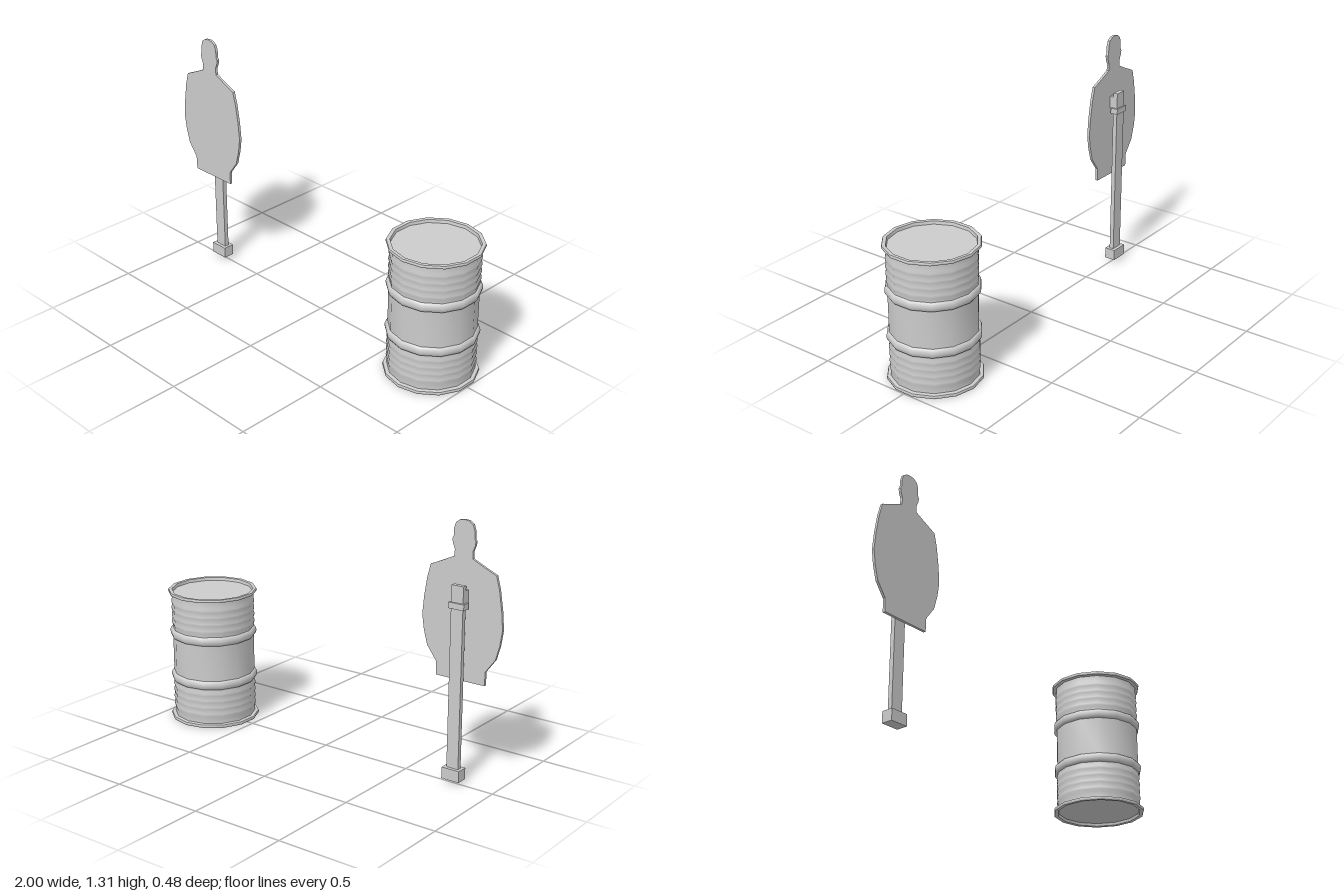
import * as THREE from 'three';
import { toCreasedNormals } from 'three/addons/utils/BufferGeometryUtils.js';

const material = new THREE.MeshStandardMaterial({ color: 0xcccccc });

function add(group, name, geometry, x = 0, y = 0, z = 0) {
  const mesh = new THREE.Mesh(geometry, material);
  mesh.name = name;
  mesh.position.set(x, y, z);
  group.add(mesh);
}

// Box given by its width, bottom and top, back and front
function addBox(group, name, width, y0, y1, z0, z1) {
  add(group, name, new THREE.BoxGeometry(width, y1 - y0, z1 - z0), 0, (y0 + y1) / 2, (z0 + z1) / 2);
}

// Steel drum: recessed ends, rolled rims, two hoops and shallow ripples
function createDrum() {
  const drum = new THREE.Group();
  drum.name = 'drum';
  const body = 0.218;
  const profile = [[0, 0.016], [0.214, 0.016], [0.217, 0.002], [0.224, 0], [0.236, 0.001], [0.239, 0.009], [0.236, 0.017], [body, 0.02]];
  const ripples = (start, end, count) => {
    const step = (end - start) / count;
    for (let i = 0; i < count; i++) {
      const y = start + i * step;
      profile.push([body, y], [body + 0.004, y + step * 0.35], [body + 0.004, y + step * 0.65]);
    }
    profile.push([body, end]);
  };
  const hoop = (y) => {
    for (let i = 0; i <= 6; i++) {
      const a = -Math.PI / 2 + (i / 6) * Math.PI;
      profile.push([body + 0.014 * Math.cos(a), y + 0.024 * Math.sin(a)]);
    }
  };
  ripples(0.05, 0.2, 4);
  hoop(0.236);
  hoop(0.48);
  ripples(0.515, 0.665, 4);
  profile.push([body, 0.696], [0.235, 0.699], [0.238, 0.707], [0.235, 0.714], [0.224, 0.715], [0.217, 0.713], [0.214, 0.697], [0, 0.697]);
  const lathe = new THREE.LatheGeometry(profile.map(([r, y]) => new THREE.Vector2(r, y)), 14);
  add(drum, 'drumShell', toCreasedNormals(lathe, 0.8));
  return drum;
}

// Flat torso cutout on a post
function createTarget() {
  const target = new THREE.Group();
  target.name = 'target';
  // Half outline from bottom to crown, as half width and height
  const half = [
    [0.136, 0.52], [0.138, 0.59], [0.19, 0.66], [0.211, 0.735], [0.222, 0.81], [0.214, 0.9],
    [0.198, 1.0], [0.18, 1.067], [0.11, 1.098], [0.051, 1.126], [0.049, 1.16], [0.061, 1.19],
    [0.064, 1.21], [0.057, 1.222], [0.056, 1.26], [0.047, 1.288], [0.026, 1.303], [0, 1.307],
  ];
  const mirrored = half.slice(0, -1).reverse().map(([x, y]) => [-x, y]);
  const shape = new THREE.Shape([...half, ...mirrored].map(([x, y]) => new THREE.Vector2(x, y)));
  const board = new THREE.ExtrudeGeometry(shape, { depth: 0.014, bevelEnabled: false });
  add(target, 'silhouetteBoard', board, 0, 0, 0.034);

  addBox(target, 'post', 0.066, 0.07, 1.0, -0.012, 0.012);
  addBox(target, 'foot', 0.098, 0.021, 0.08, -0.03, 0.03);
  addBox(target, 'clamp', 0.086, 0.886, 0.916, -0.021, 0.021);
  addBox(target, 'boardBracket', 0.066, 0.912, 0.976, 0.01, 0.035);
  return target;
}

export function createModel() {
  const model = new THREE.Group();
  model.name = 'shootingRangeProps';
  const drum = createDrum();
  drum.position.x = 0.766;
  const target = createTarget();
  target.position.x = -0.778;
  model.add(drum, target);
  return model;
}
